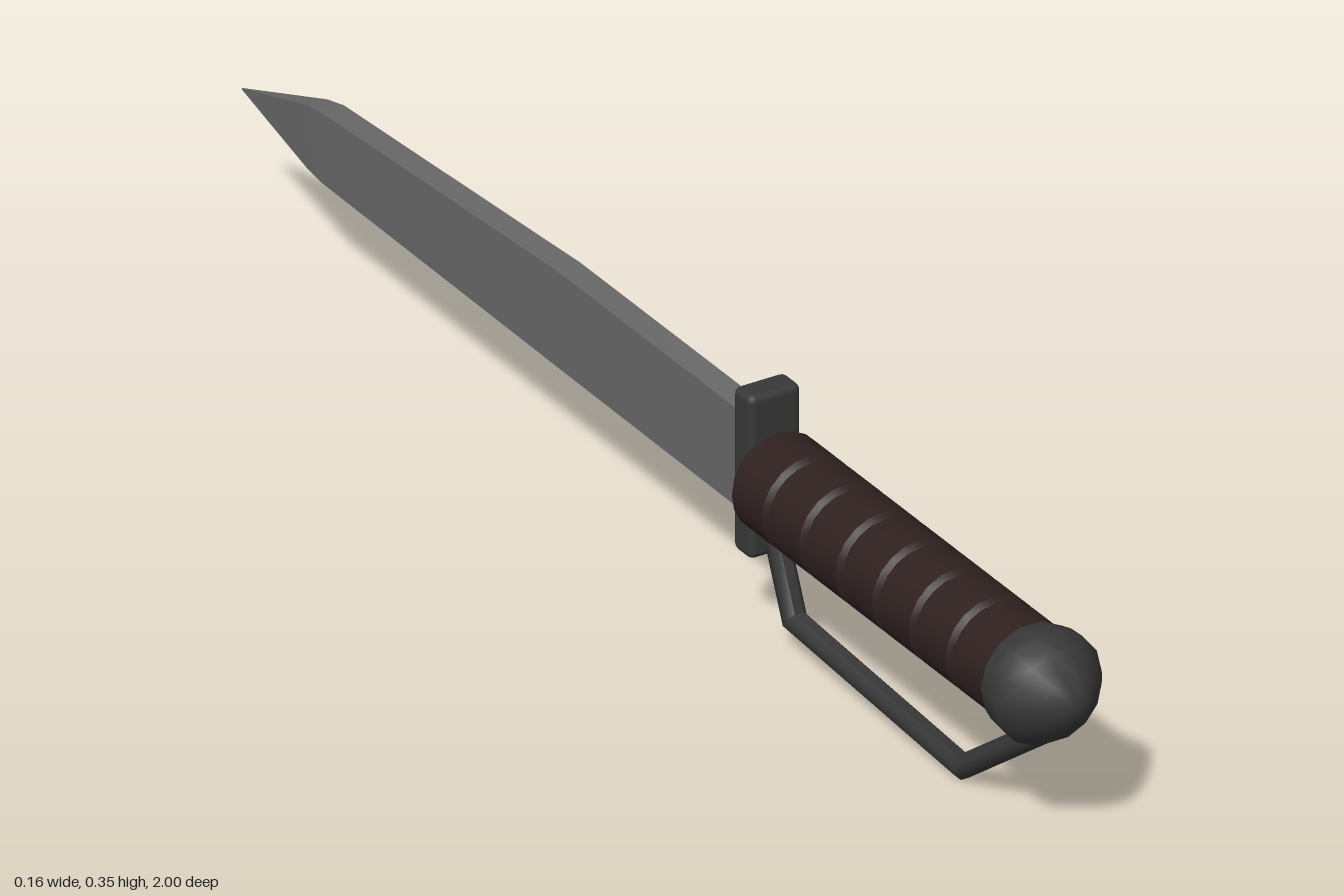
import * as THREE from 'three';
import { toCreasedNormals } from 'three/addons/utils/BufferGeometryUtils.js';
import { RoundedBoxGeometry } from 'three/addons/geometries/RoundedBoxGeometry.js';

const AXIS_Y = 0.227; // height of the grip axis

// Closed skin through rings of [x, y, z] points, counterclockwise about the direction of travel
function loft(rings, crease) {
  const n = rings[0].length, last = (rings.length - 1) * n, index = [];
  for (let i = 0; i < rings.length - 1; i++) {
    for (let j = 0; j < n; j++) {
      const a = i * n + j, b = i * n + (j + 1) % n;
      index.push(a, b, b + n, a, b + n, a + n);
    }
  }
  for (let j = 1; j < n - 1; j++) {
    index.push(0, j + 1, j, last, last + j, last + j + 1);
  }
  const geo = new THREE.BufferGeometry();
  geo.setAttribute('position', new THREE.Float32BufferAttribute(rings.flat(2), 3));
  geo.setIndex(index);
  return toCreasedNormals(geo, crease);
}

// Turned part along z from [radius, z] pairs
function turned(profile, sides, crease) {
  const points = profile.map(([r, z]) => new THREE.Vector2(r, z));
  const geo = new THREE.LatheGeometry(points, sides, Math.PI / 2);
  geo.rotateX(Math.PI / 2).translate(0, AXIS_Y, 0);
  return toCreasedNormals(geo, crease);
}

// Mitred rod through [z, y] points
function rod(path, r, sides) {
  const pts = path.map(([z, y]) => new THREE.Vector2(z, y));
  const rings = pts.map((p, i) => {
    const before = p.clone().sub(pts[Math.max(i - 1, 0)]).normalize();
    const after = pts[Math.min(i + 1, pts.length - 1)].clone().sub(p).normalize();
    const t = before.clone().add(after).normalize();
    const stretch = 1 / t.dot(i ? before : after);
    return Array.from({ length: sides }, (_, j) => {
      const a = (j + 0.5) / sides * Math.PI * 2;
      const s = r * Math.sin(a) * stretch;
      return [r * Math.cos(a), p.y + t.x * s, p.x - t.y * s];
    });
  });
  return loft(rings, 0.9);
}

export function createModel() {
  const steel = new THREE.MeshStandardMaterial({ color: 0x6a6969 });
  steel.name = 'blade steel';
  const dark = new THREE.MeshStandardMaterial({ color: 0x383838 });
  dark.name = 'dark metal';
  const leather = new THREE.MeshStandardMaterial({ color: 0x2f2120 });
  leather.name = 'brown leather';

  const model = new THREE.Group();
  model.name = 'knife';
  const add = (name, geo, mat) => {
    const mesh = new THREE.Mesh(geo, mat);
    mesh.name = name;
    model.add(mesh);
    return mesh;
  };

  // Blade sections: z, bottom, top, half thickness
  const sections = [
    [-1, 0.199, 0.201, 0.0005],
    [-0.82, 0.172, 0.264, 0.015],
    [-0.785, 0.170, 0.271, 0.0175],
    [-0.22, 0.166, 0.305, 0.0185],
    [0.25, 0.163, 0.305, 0.0185],
  ];
  add('blade', loft(sections.map(([z, b, t, w]) =>
    [[w, b, z], [w, t, z], [-w, t, z], [-w, b, z]]), 0.2), steel);

  // Cross guard
  add('crossGuard', new RoundedBoxGeometry(0.078, 0.236, 0.043, 2, 0.01), dark)
    .position.set(0, 0.237, 0.256);

  // Grip wound in bands with narrow grooves
  const bands = 7, start = 0.275, step = (0.89 - start) / bands;
  const grip = [[0, start]];
  for (let i = 0; i < bands; i++) {
    const z = start + i * step;
    grip.push([0.064, z], [0.07, z + 0.008], [0.07, z + step - 0.008], [0.064, z + step]);
  }
  // Neighbouring bands share a groove point
  const gripProfile = grip.filter(([r, z], i) =>
    i === 0 || Math.abs(z - grip[i - 1][1]) > 1e-6 || r !== grip[i - 1][0]);
  add('grip', turned(gripProfile, 20, 0.5), leather);

  // Pommel: short collar closed by a dome
  add('pommel', turned([[0, 0.885], [0.074, 0.885], [0.079, 0.905], [0.08, 0.93],
    [0.065, 0.953], [0.042, 0.978], [0.022, 0.994], [0, 1]], 14, 0.9), dark);

  // Hand guard from pommel to cross guard
  add('handGuard', rod([[0.262, 0.185], [0.322, 0.044], [0.725, 0.019], [0.925, 0.165]], 0.0165, 8), dark);

  return model;
}
